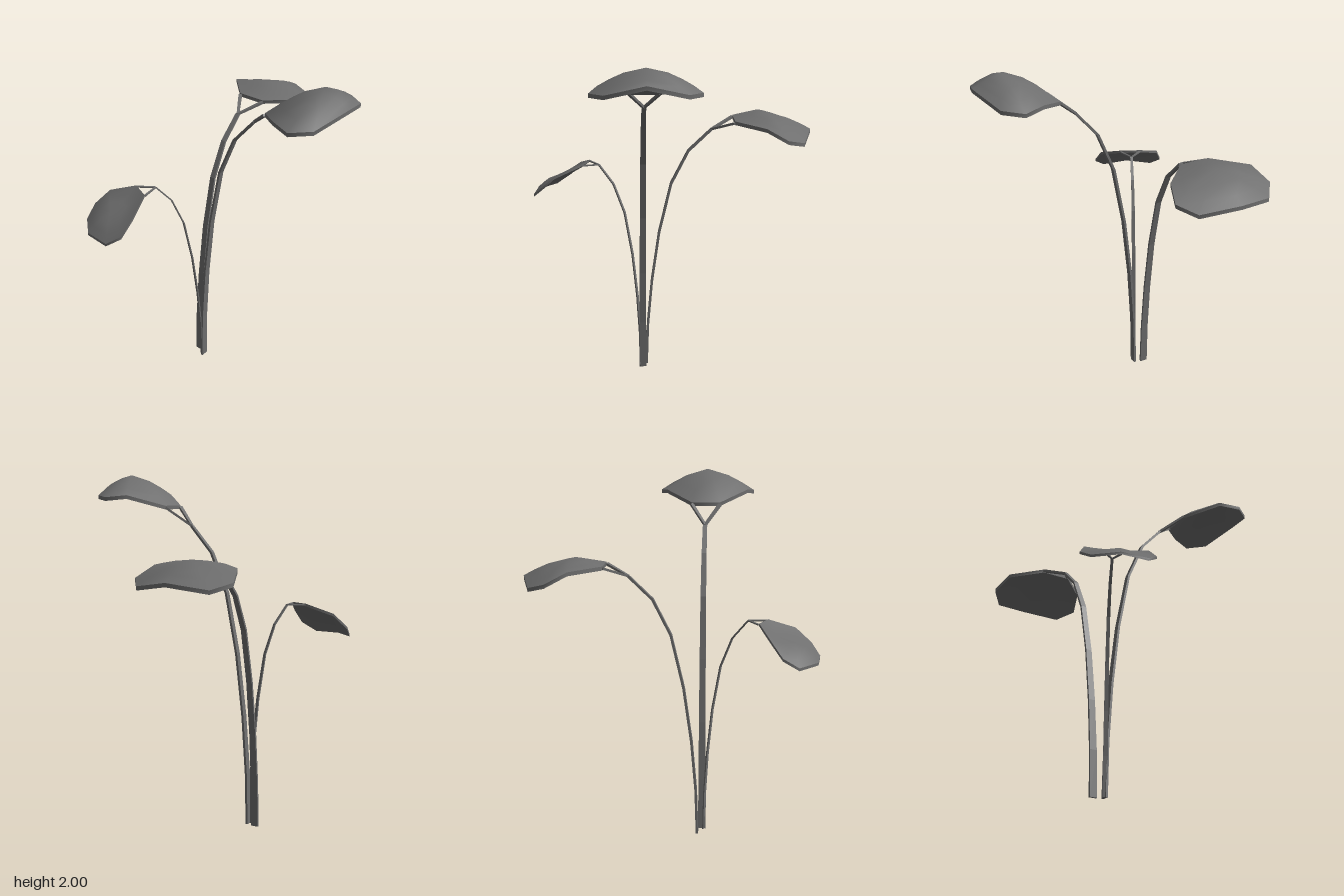
import * as THREE from 'three';

const stemMaterial = new THREE.MeshStandardMaterial({ color: 0x6e6e6e, flatShading: true });
const leafMaterial = new THREE.MeshStandardMaterial({ color: 0x6e6e6e });

function build(positions, index, material, name) {
  const geometry = new THREE.BufferGeometry();
  geometry.setAttribute('position', new THREE.Float32BufferAttribute(positions, 3));
  geometry.setIndex(index);
  geometry.computeVertexNormals();
  const mesh = new THREE.Mesh(geometry, material);
  mesh.name = name;
  return mesh;
}

// Flat strip with a rectangular section, swept along points and tapering from w0 to w1
function strip(path, w0, w1, thickness, name) {
  const points = path.map((p) => new THREE.Vector3(...p));
  const last = points.length - 1;
  const run = points[last].clone().sub(points[0]);
  const side = new THREE.Vector3(run.z, 0, -run.x).normalize();
  const positions = [];
  const index = [0, 2, 1, 0, 3, 2];
  points.forEach((p, i) => {
    const tangent = points[Math.min(i + 1, last)].clone().sub(points[Math.max(i - 1, 0)]);
    const normal = tangent.cross(side).normalize();
    const w = THREE.MathUtils.lerp(w0, w1, i / last) / 2;
    for (const [s, n] of [[1, 1], [-1, 1], [-1, -1], [1, -1]]) {
      const corner = p.clone().addScaledVector(side, s * w).addScaledVector(normal, n * thickness / 2);
      positions.push(...corner);
    }
    if (i === last) return;
    for (let j = 0; j < 4; j++) {
      const a = i * 4 + j, b = i * 4 + (j + 1) % 4;
      index.push(a, b, b + 4, a, b + 4, a + 4);
    }
  });
  const e = last * 4;
  index.push(e, e + 1, e + 2, e, e + 2, e + 3);
  return build(positions, index, stemMaterial, name);
}

// Domed slab: rings shrink from the rim to the crown, on the top and the underside
function blade(rim, crown, thickness) {
  const n = rim.length;
  const positions = [];
  const index = [];
  const rings = [1, 0.75, 0.45];
  for (const drop of [0, thickness]) {
    const start = positions.length / 3;
    const face = (a, b, c) => (drop ? index.push(a, c, b) : index.push(a, b, c));
    for (const t of rings) {
      for (const p of rim) {
        positions.push(
          crown[0] + (p[0] - crown[0]) * t,
          crown[1] + (p[1] - crown[1]) * t ** 1.5 - drop,
          crown[2] + (p[2] - crown[2]) * t
        );
      }
    }
    positions.push(crown[0], crown[1] - drop, crown[2]);
    const centre = start + rings.length * n;
    for (let j = 0; j < n; j++) {
      const k = (j + 1) % n;
      for (let r = 0; r < rings.length - 1; r++) {
        const o = start + r * n, i = o + n;
        face(i + j, i + k, o + k);
        face(i + j, o + k, o + j);
      }
      face(centre, centre - n + k, centre - n + j);
    }
  }
  // Rim wall with its own vertices, so its edges stay sharp
  const wall = positions.length / 3;
  for (const p of rim) positions.push(p[0], p[1], p[2], p[0], p[1] - thickness, p[2]);
  for (let j = 0; j < n; j++) {
    const a = wall + j * 2, b = wall + ((j + 1) % n) * 2;
    index.push(a, b, b + 1, a, b + 1, a + 1);
  }
  return build(positions, index, leafMaterial, 'leafBlade');
}

// Bend shared by every stem: share of its reach, share of its height
const bend = [[0, 0], [0.02, 0.175], [0.085, 0.37], [0.2, 0.58], [0.385, 0.782], [0.65, 0.915], [1, 1]];

// Half outline of a blade from the stem tip: sideways, up, forward
const halfRim = [[0.083, 0.12, 0.127], [0.24, 0.185, 0.288], [0.28, 0.177, 0.405], [0.206, 0.19, 0.505]];
const tip = [0, 0.25, 0.57];
const outline = [...halfRim, tip, ...halfRim.map(([x, y, z]) => [-x, y, z]).reverse()];

// One stem with its forked arms and blade, growing towards its local +z
function createStalk({ name, base, heading, reach, height, droop, crown, size, width, thickness }) {
  const stalk = new THREE.Group();
  stalk.name = name;
  stalk.position.set(base[0], 0, base[1]);
  stalk.rotation.y = heading;

  const place = ([x, y, z]) => [x * size, height + (y - droop * z) * size, reach + z * size];
  const rim = outline.map(place);
  const bladeThickness = 0.021 * size;
  stalk.add(strip(bend.map(([r, h]) => [0, h * height, r * reach]), width * 1.75, width, thickness, 'stem'));
  stalk.add(blade(rim, place(crown), bladeThickness));

  // Arms run from the stem tip to the two inner corners of the blade
  for (const [x, y, z] of [rim[0], rim[rim.length - 1]]) {
    const end = [x, y - bladeThickness / 2, z];
    stalk.add(strip([[0, height, reach], end], width * 0.6, width * 0.85, thickness, 'forkArm'));
  }
  return stalk;
}

export function createModel() {
  const model = new THREE.Group();
  model.name = 'plant';
  model.add(
    createStalk({
      name: 'frontStalk', base: [-0.1, -0.125], heading: 0.433, reach: 0.369, height: 1.71,
      droop: 0.03, crown: [0, 0.302, 0.41], size: 1, width: 0.025, thickness: 0.013,
    }),
    createStalk({
      name: 'backStalk', base: [-0.1, -0.186], heading: 1.996, reach: 0.373, height: 1.485,
      droop: 0.44, crown: [0, 0.235, 0.32], size: 1, width: 0.025, thickness: 0.013,
    }),
    createStalk({
      name: 'rightStalk', base: [-0.112, -0.125], heading: -Math.PI / 2, reach: 0.266, height: 1.26,
      droop: 0.89, crown: [0, 0.21, 0.38], size: 0.714, width: 0.015, thickness: 0.007,
    })
  );
  return model;
}
